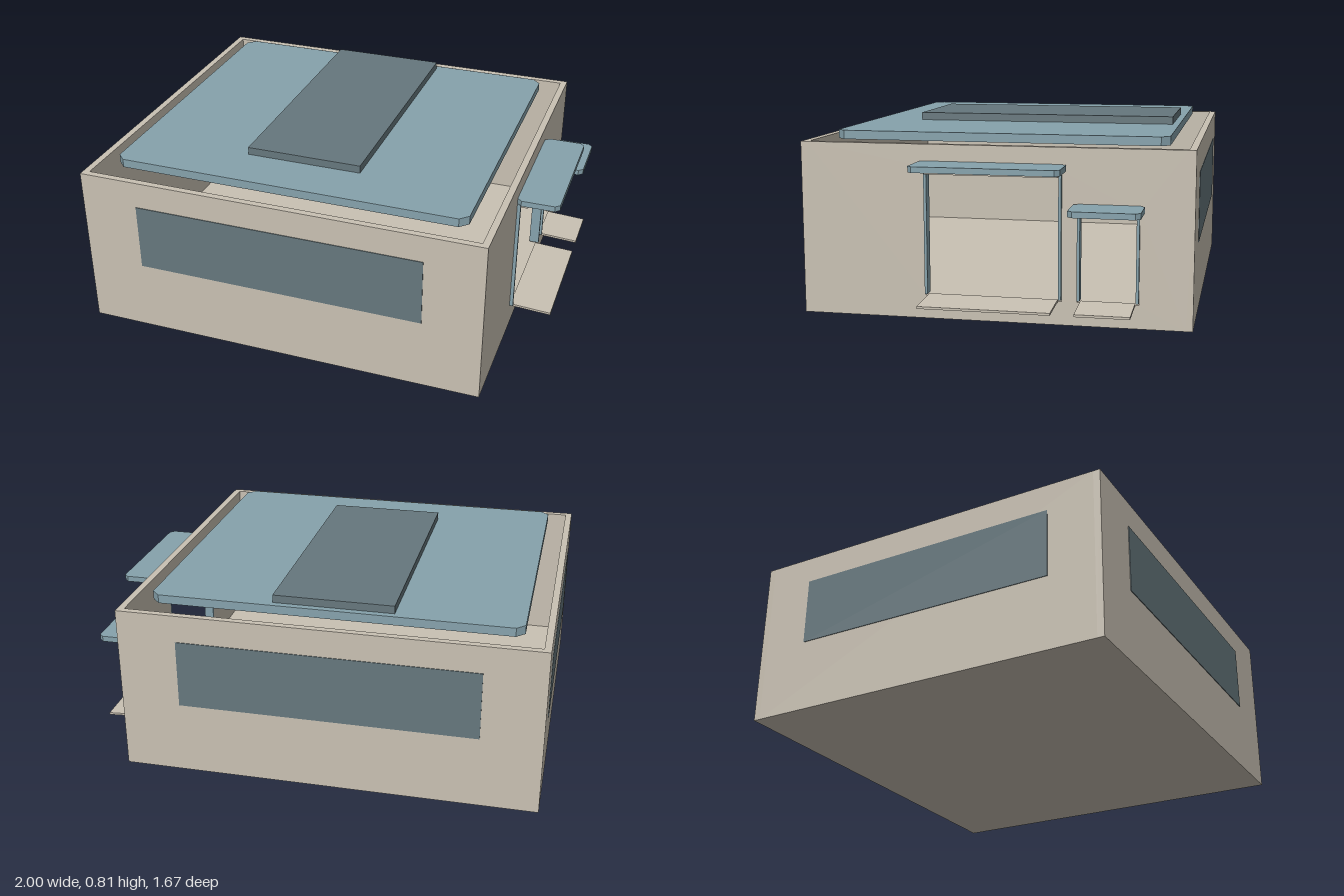
import * as THREE from 'three';

const stone = new THREE.MeshStandardMaterial({ color: 0xc9c1b3 });
stone.name = 'warm stone';
const blue = new THREE.MeshStandardMaterial({ color: 0x86a2ac });
blue.name = 'blue grey';
const slate = new THREE.MeshStandardMaterial({ color: 0x66777d });
slate.name = 'slate';

export function createModel() {
  const model = new THREE.Group();
  model.name = 'pavilion';

  const add = (name, geometry, material, parent = model) => {
    const mesh = new THREE.Mesh(geometry, material);
    mesh.name = name;
    parent.add(mesh);
    return mesh;
  };

  // Box given by its extents on each axis
  const box = (name, material, [x0, x1], [y0, y1], [z0, z1], parent) =>
    add(name, new THREE.BoxGeometry(x1 - x0, y1 - y0, z1 - z0), material, parent)
      .position.set((x0 + x1) / 2, (y0 + y1) / 2, (z0 + z1) / 2);

  // Horizontal slab with cut corners
  const slab = (name, material, [x0, x1], [y0, y1], [z0, z1], c, parent) => {
    const shape = new THREE.Shape([
      [x0 + c, -z1], [x1 - c, -z1], [x1, -z1 + c], [x1, -z0 - c],
      [x1 - c, -z0], [x0 + c, -z0], [x0, -z0 - c], [x0, -z1 + c],
    ].map(([x, y]) => new THREE.Vector2(x, y)));
    const geometry = new THREE.ExtrudeGeometry(shape, { depth: y1 - y0, bevelEnabled: false });
    geometry.rotateX(-Math.PI / 2).translate(0, y0, 0);
    add(name, geometry, material, parent);
  };

  const rect = (Type, x0, x1, y0, y1) => new Type([
    new THREE.Vector2(x0, y0), new THREE.Vector2(x1, y0),
    new THREE.Vector2(x1, y1), new THREE.Vector2(x0, y1),
  ]);

  const L = -1, R = 0.815, Z = 0.83, H = 0.74, T = 0.03;
  const sill = 0.1;
  const doors = [
    { name: 'largeDoor', z0: -0.29, z1: 0.29, top: 0.645, canopy: [-0.31, 0.31] },
    { name: 'smallDoor', z0: -0.61, z1: -0.355, top: 0.485, canopy: [-0.63, -0.34] },
  ];

  // Floor and closed walls
  box('floor', stone, [L + T, R - T], [0, sill], [-Z + T, Z - T]);
  box('frontWall', stone, [L, R], [0, H], [Z - T, Z]);
  box('backWall', stone, [L, R], [0, H], [-Z, -Z + T]);
  box('rightWall', stone, [L, L + T], [0, H], [-Z + T, Z - T]);

  // Entrance wall with two openings
  const wall = rect(THREE.Shape, -Z + T, Z - T, 0, H);
  for (const d of doors) wall.holes.push(rect(THREE.Path, -d.z1, -d.z0, sill, d.top));
  const wallGeometry = new THREE.ExtrudeGeometry(wall, { depth: T, bevelEnabled: false });
  wallGeometry.rotateY(Math.PI / 2).translate(R - T, 0, 0);
  add('entranceWall', wallGeometry, stone);

  // Window panels
  const p = 0.003;
  box('frontWindow', slate, [-0.74, 0.555], [0.32, 0.62], [Z, Z + p]);
  box('backWindow', slate, [-0.74, 0.555], [0.32, 0.62], [-Z - p, -Z]);
  box('sideWindow', slate, [L - p, L], [0.32, 0.62], [-0.595, 0.595]);

  // Door frames, canopies and sloping steps
  for (const d of doors) {
    const door = new THREE.Group();
    door.name = d.name;
    model.add(door);
    const w = 0.012;
    for (const z of [d.z0, d.z1 - w])
      box('doorPost', blue, [R - T, 0.83], [0.108, d.top], [z, z + w], door);
    box('doorHeader', stone, [R - T, 0.86], [d.top - 0.025, d.top], [d.z0 + w, d.z1 - w], door);
    slab('canopy', blue, [R, 1], [d.top, d.top + 0.025], d.canopy, 0.02, door);

    const profile = new THREE.Shape([
      [R, 0.098], [1, 0.088], [1, 0.098], [R, 0.108],
    ].map(([x, y]) => new THREE.Vector2(x, y)));
    const step = new THREE.ExtrudeGeometry(profile, {
      depth: d.z1 - d.z0 - 0.03, bevelEnabled: false,
    });
    add('step', step.translate(0, 0, d.z0 + 0.015), stone, door);
  }

  // Roof slab with raised panel
  slab('roof', blue, [-0.887, 0.7], [H, 0.778], [-0.715, 0.715], 0.036);
  box('roofPanel', slate, [-0.353, 0.167], [0.778, 0.812], [-0.685, 0.49]);

  return model;
}
